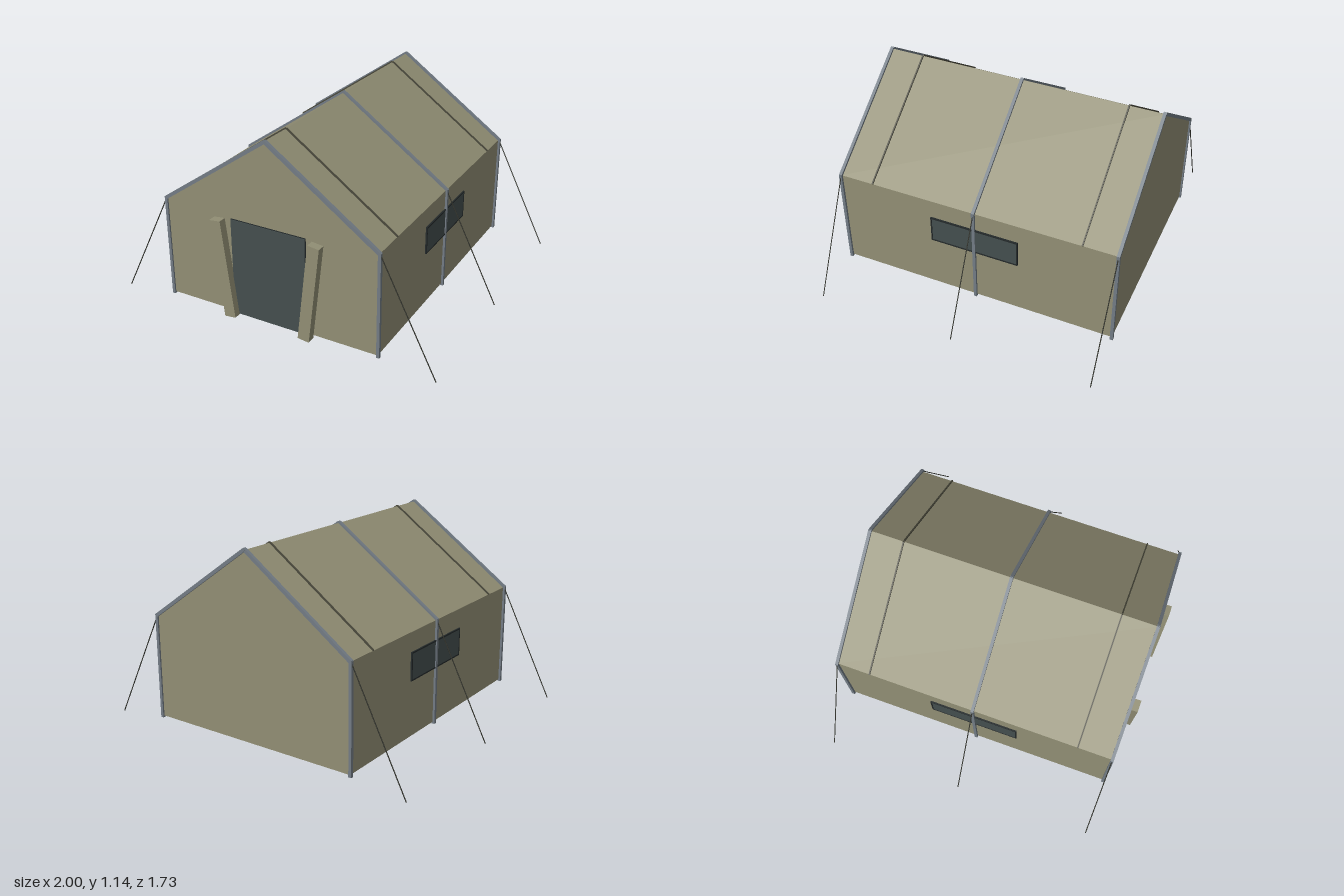
import * as THREE from 'three';

const W = 0.662, BASE = 0.05, EAVE = 0.66, RIDGE = 1.13; // half width and heights
const FRONT = 0.811, MID = -0.022, BACK = -0.855;

const material = (name, color, side = THREE.FrontSide) => {
  const m = new THREE.MeshStandardMaterial({ color, side });
  m.name = name;
  return m;
};

export function createModel() {
  const canvas = material('canvas', 0x918e74, THREE.DoubleSide);
  const steel = material('steel', 0x727b84);
  const netting = material('netting', 0x444e4e);
  const trim = material('dark trim', 0x23292a);
  const seam = material('seam', 0x4a493c);
  const cord = material('cord', 0x35362f);

  const tent = new THREE.Group();
  tent.name = 'tent';

  const add = (name, geometry, mat, x = 0, y = 0, z = 0) => {
    const mesh = new THREE.Mesh(geometry, mat);
    mesh.name = name;
    mesh.position.set(x, y, z);
    tent.add(mesh);
    return mesh;
  };
  const box = (name, mat, w, h, d, x, y, z) =>
    add(name, new THREE.BoxGeometry(w, h, d), mat, x, y, z);

  // square bar between two points of the same cross-section plane
  const bar = (name, mat, x1, y1, x2, y2, z, thick, depth) => {
    const b = box(name, mat, thick, Math.hypot(x2 - x1, y2 - y1), depth,
      (x1 + x2) / 2, (y1 + y2) / 2, z);
    b.rotation.z = -Math.atan2(x2 - x1, y2 - y1);
    return b;
  };

  // cloth panel running from front to back between two profile points
  const panel = (name, x1, y1, x2, y2) => {
    const g = new THREE.BufferGeometry();
    g.setAttribute('position', new THREE.Float32BufferAttribute([
      x1, y1, FRONT, x1, y1, BACK, x2, y2, BACK, x2, y2, FRONT], 3));
    g.setIndex([0, 1, 2, 0, 2, 3]);
    g.computeVertexNormals();
    add(name, g, canvas);
  };

  // gable walls
  const gable = new THREE.Shape([[-W, BASE], [W, BASE], [W, EAVE], [0, RIDGE], [-W, EAVE]]
    .map(([x, y]) => new THREE.Vector2(x, y)));
  add('frontWall', new THREE.ShapeGeometry(gable), canvas, 0, 0, FRONT);
  add('backWall', new THREE.ShapeGeometry(gable), canvas, 0, 0, BACK).rotation.y = Math.PI;

  // side walls and roof slopes, wound to face outward
  panel('leftWall', W, BASE, W, EAVE);
  panel('leftRoof', W, EAVE, 0, RIDGE);
  panel('rightRoof', 0, RIDGE, -W, EAVE);
  panel('rightWall', -W, EAVE, -W, BASE);

  // doorway with a thin dark surround
  box('door', netting, 0.464, 0.589, 0.008, 0, 0.339, FRONT + 0.007);
  box('doorEdge', trim, 0.47, 0.595, 0.005, 0, 0.339, FRONT + 0.0045);

  for (const s of [-1, 1]) {
    // tied-back door flap
    const flap = box('doorFlap', canvas, 0.07, 0.594, 0.048, s * 0.273, 0.331, 0.84);
    flap.rotation.z = -s * 0.118;

    // side window with frame
    const wy = 0.463, wz = -0.021, wl = 0.53, wh = 0.166, t = 0.008;
    box('window', netting, 0.009, wh - t, wl - t, s * (W + 0.002), wy, wz);
    for (const e of [-1, 1]) {
      box('windowFrame', trim, 0.018, t, wl, s * W, wy + e * (wh - t) / 2, wz);
      box('windowFrame', trim, 0.018, wh, t, s * W, wy, wz + e * (wl - t) / 2);
    }

    // pole frames and guy ropes
    for (const z of [FRONT, MID, BACK]) {
      bar('wallPole', steel, s * 0.666, 0.04, s * 0.666, 0.667, z, 0.018, 0.018);
      bar('roofPole', steel, s * 0.668, EAVE, 0, RIDGE + 0.002, z, 0.02, 0.018);
      const rope = add('guyRope', new THREE.CylinderGeometry(0.003, 0.003,
        Math.hypot(0.332, EAVE), 6), cord, s * 0.832, EAVE / 2, z);
      rope.rotation.z = Math.atan2(s * 0.332, EAVE);
    }

    // raised roof seams
    for (const z of [0.607, -0.655])
      bar('roofSeam', seam, s * W, EAVE, 0, RIDGE, z, 0.016, 0.008);
  }

  // ridge joints
  for (const z of [FRONT, MID, BACK]) {
    const joint = box('ridgeJoint', steel, 0.014, 0.014, 0.02, 0, RIDGE + 0.002, z);
    joint.rotation.z = Math.PI / 4;
  }
  return tent;
}
